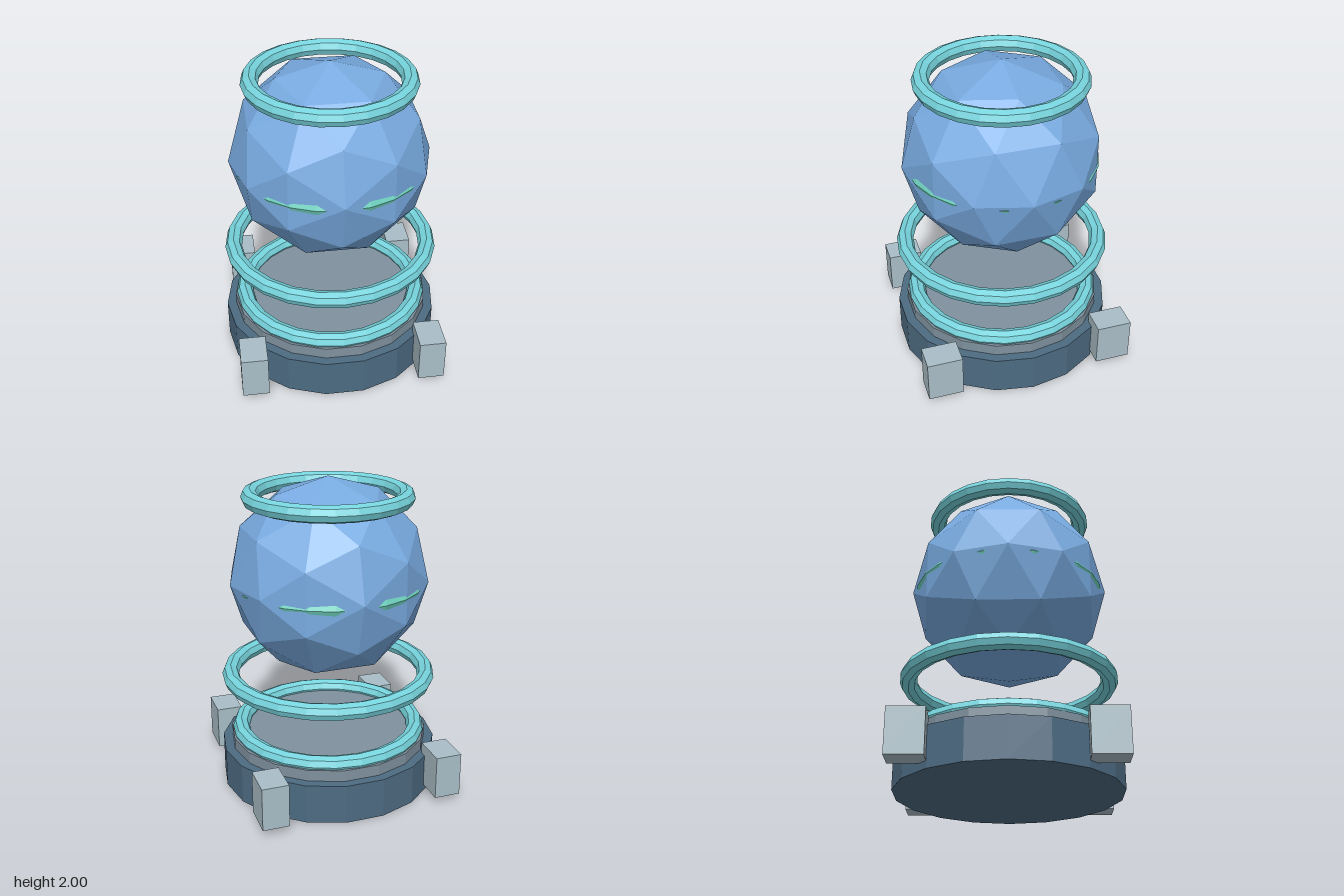
import * as THREE from 'three';

const mat = (name, color) => {
  const m = new THREE.MeshStandardMaterial({ color, flatShading: true });
  m.name = name;
  return m;
};

export function createModel() {
  const model = new THREE.Group();
  model.name = 'orbPedestal';

  const slate = mat('slateBlue', 0x4d6b82);
  const grey = mat('steelGrey', 0x7f919e);
  const pale = mat('paleGrey', 0xa9bec7);
  const cyan = mat('cyan', 0x76d3dc);
  const green = mat('seaGreen', 0x70d3c0);
  const blue = mat('orbBlue', 0x78aae0);

  const add = (name, geometry, material, x, y, z) => {
    const mesh = new THREE.Mesh(geometry, material);
    mesh.name = name;
    mesh.position.set(x, y, z);
    model.add(mesh);
  };

  // Eighteen-sided drum with corners on the x axis
  const drum = (name, radius, bottom, top, material) => {
    const g = new THREE.CylinderGeometry(radius, radius, top - bottom, 18).rotateY(Math.PI / 2);
    add(name, g, material, 0, (bottom + top) / 2, 0);
  };

  // Horizontal faceted ring
  const tube = 0.054;
  const ring = (name, outer, y, material) => {
    const g = new THREE.TorusGeometry(outer - tube, tube, 8, 24).rotateX(Math.PI / 2);
    add(name, g, material, 0, y, 0);
  };

  // Stepped base
  drum('base', 0.7, 0, 0.255, slate);
  drum('baseStep', 0.64, 0.255, 0.328, grey);

  // Four corner blocks
  for (const [sx, side] of [[1, 'left'], [-1, 'right']]) {
    for (const [sz, end] of [[1, 'Front'], [-1, 'Back']]) {
      add(side + end + 'Block', new THREE.BoxGeometry(0.168, 0.28, 0.224), pale,
        sx * 0.564, 0.185, sz * 0.563);
    }
  }

  // Floating faceted orb
  add('orb', new THREE.IcosahedronGeometry(0.632, 1), blue, 0, 1.368, 0);

  // Rings, from the base up; the green one barely breaks the orb's surface
  ring('baseRing', 0.63, 0.343, cyan);
  ring('lowerRing', 0.687, 0.722, cyan);
  ring('orbBand', 0.607, 1.342, green);
  ring('upperRing', 0.534, 1.878, cyan);

  return model;
}
